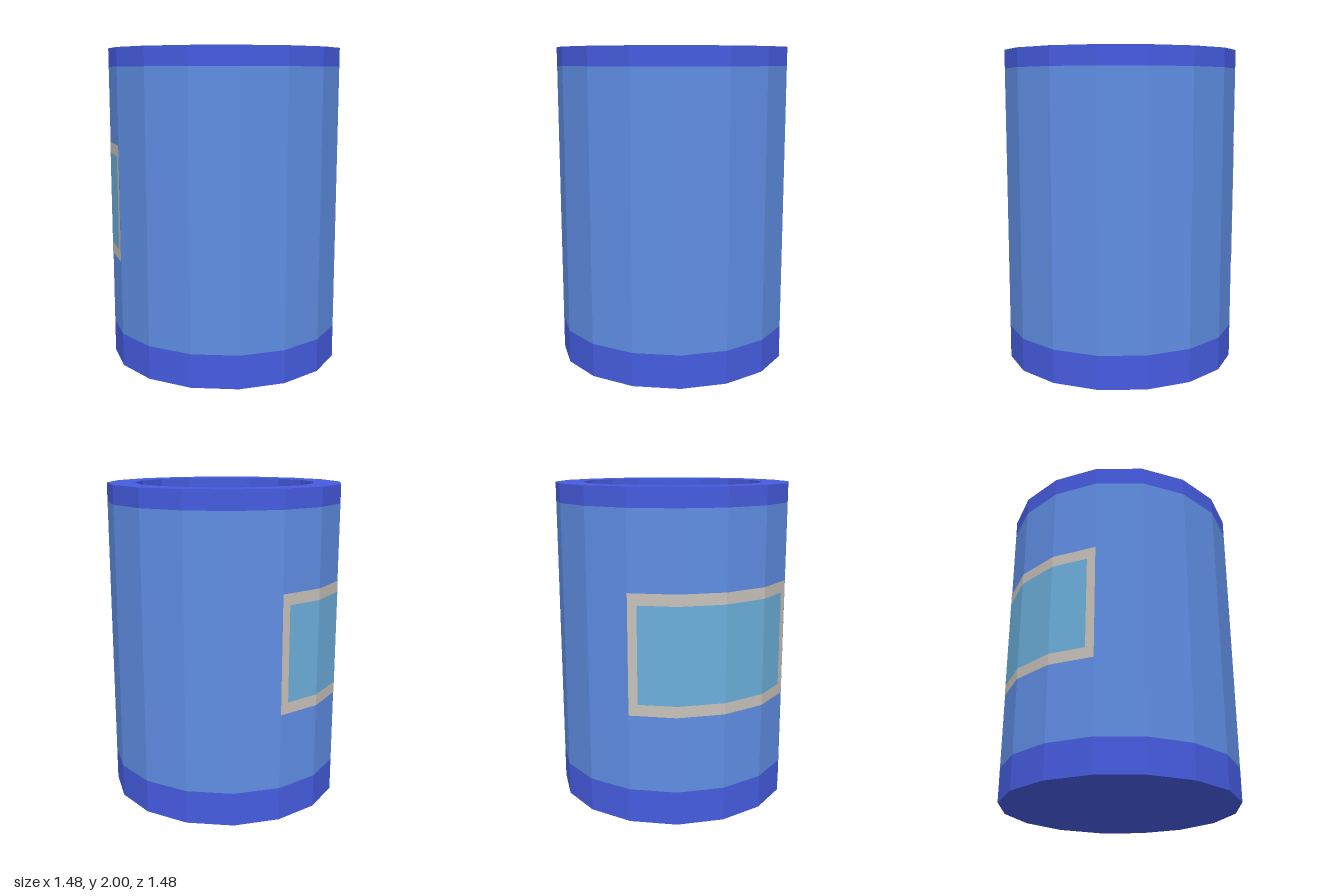
import * as THREE from 'three';

const SIDES = 16, R = 0.74, INNER = 0.565;
const STEP = (Math.PI * 2) / SIDES;

const paint = (color, extra = {}) =>
  new THREE.MeshStandardMaterial({ color, flatShading: true, ...extra });

// Faceted ring or disc turned from a short [radius, height] profile
function turned(name, profile, material) {
  const points = profile.map(([r, y]) => new THREE.Vector2(r, y));
  const mesh = new THREE.Mesh(new THREE.LatheGeometry(points, SIDES), material);
  mesh.name = name;
  return mesh;
}

// Point on the faceted wall; u counts whole facets round from the +z corner
function wallPoint(u, radius) {
  const corner = (k) => new THREE.Vector2(Math.sin(k * STEP), Math.cos(k * STEP));
  const k = Math.floor(u);
  return corner(k).lerp(corner(k + 1), u - k).multiplyScalar(radius);
}

// Patch that follows the wall facets between u0..u1 and y0..y1
function wallPatch(name, u0, u1, y0, y1, material) {
  const us = [u0];
  for (let k = Math.floor(u0) + 1; k < u1; k++) us.push(k);
  us.push(u1);
  const positions = [], index = [];
  us.forEach((u, i) => {
    const p = wallPoint(u, R + 0.002);
    positions.push(p.x, y0, p.y, p.x, y1, p.y);
    if (i) {
      const a = 2 * i - 2;
      index.push(a, a + 2, a + 1, a + 3, a + 1, a + 2);
    }
  });
  const geometry = new THREE.BufferGeometry();
  geometry.setAttribute('position', new THREE.Float32BufferAttribute(positions, 3));
  geometry.setIndex(index);
  geometry.computeVertexNormals();
  const mesh = new THREE.Mesh(geometry, material);
  mesh.name = name;
  return mesh;
}

export function createModel() {
  const model = new THREE.Group();
  model.name = 'barrel';

  const rimBlue = paint(0x465ce0);
  const bodyBlue = paint(0x5f8ee4);
  const lidLilac = paint(0x8a90dc);
  const frameGrey = paint(0xc8c2ba, { side: THREE.DoubleSide });
  const panelTeal = paint(0x6cb0dc, { side: THREE.DoubleSide });

  // Barrel: closed base band, wall, top rim with recessed lid
  const bandTop = 0.21, rimBottom = 1.885;
  model.add(
    turned('baseBand', [[0, 0], [R, 0], [R, bandTop]], rimBlue),
    turned('body', [[R, bandTop], [R, rimBottom]], bodyBlue),
    turned('topRim', [[R, rimBottom], [R, 2], [INNER, 2], [INNER, rimBottom]], rimBlue),
    turned('lid', [[INNER, rimBottom], [0, rimBottom]], lidLilac)
  );

  // Label: four facets wide, a grey frame around a plain panel
  const label = new THREE.Group();
  label.name = 'label';
  const [u0, u1, y0, y1] = [-5, -1, 0.68, 1.41];
  const du = 0.19, dy = 0.07;
  label.add(
    wallPatch('panel', u0 + du, u1 - du, y0 + dy, y1 - dy, panelTeal),
    wallPatch('frameBottom', u0, u1, y0, y0 + dy, frameGrey),
    wallPatch('frameTop', u0, u1, y1 - dy, y1, frameGrey),
    wallPatch('frameBackSide', u0, u0 + du, y0 + dy, y1 - dy, frameGrey),
    wallPatch('frameFrontSide', u1 - du, u1, y0 + dy, y1 - dy, frameGrey)
  );
  model.add(label);

  return model;
}
